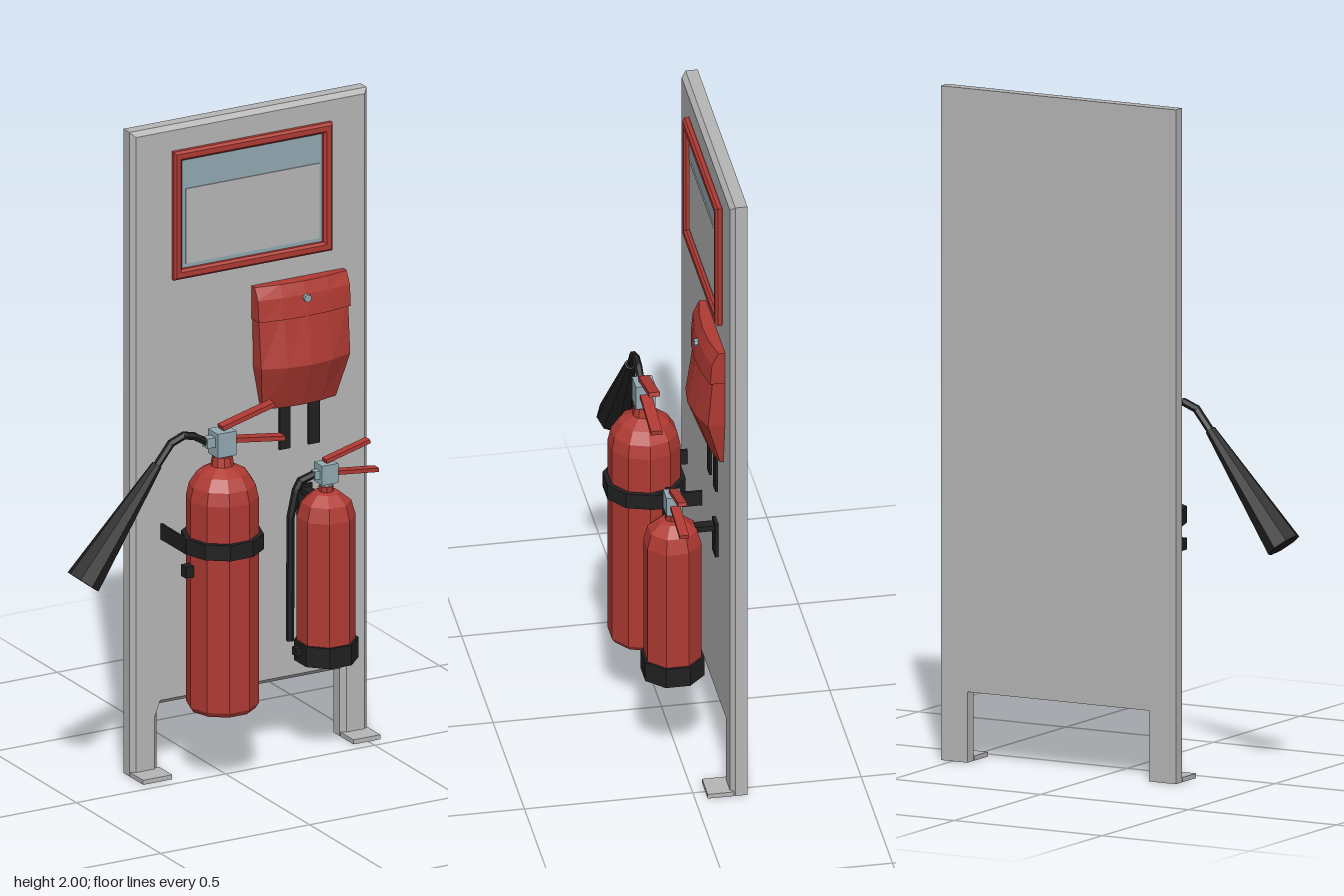
import * as THREE from 'three';

const mat = (name, color) => {
  const m = new THREE.MeshStandardMaterial({ color });
  m.name = name;
  return m;
};

export function createModel() {
  const grey = mat('panelGrey', 0xb6b6b6);
  const red = mat('safetyRed', 0xb03a33);
  const black = mat('rubberBlack', 0x202020);
  const metal = mat('paleMetal', 0x92a9b2);
  const root = new THREE.Group();
  root.name = 'fireStation';

  // Every part is faceted
  const add = (parent, name, geo, material, x = 0, y = 0, z = 0) => {
    const g = geo.index ? geo.toNonIndexed() : geo;
    g.computeVertexNormals();
    const mesh = new THREE.Mesh(g, material);
    mesh.name = name;
    mesh.position.set(x, y, z);
    parent.add(mesh);
    return mesh;
  };
  // Box given by its limits
  const box = (parent, name, material, [x0, x1], [y0, y1], [z0, z1]) =>
    add(parent, name, new THREE.BoxGeometry(x1 - x0, y1 - y0, z1 - z0), material,
      (x0 + x1) / 2, (y0 + y1) / 2, (z0 + z1) / 2);
  // Flat bar between two points of the xy plane
  const bar = (parent, name, material, [ax, ay], [bx, by], z, thick, width) => {
    const m = add(parent, name, new THREE.BoxGeometry(Math.hypot(bx - ax, by - ay), thick, width),
      material, (ax + bx) / 2, (ay + by) / 2, z);
    m.rotation.z = Math.atan2(by - ay, bx - ax);
  };
  const lathe = (parent, name, material, pts, sides, phase, x, z) =>
    add(parent, name, new THREE.LatheGeometry(pts.map(p => new THREE.Vector2(...p)), sides, phase),
      material, x, 0, z);
  // Hose of straight hexagonal pieces with ball-like joints
  const hose = (parent, pts, z, r) => {
    const g = new THREE.Group();
    g.name = 'hose';
    parent.add(g);
    const path = new THREE.CurvePath();
    const v = pts.map(([x, y]) => new THREE.Vector3(x, y, z));
    for (let i = 0; i < v.length - 1; i++) path.add(new THREE.LineCurve3(v[i], v[i + 1]));
    for (let i = 0; i < v.length - 1; i++) {
      const d = v[i + 1].clone().sub(v[i]);
      const mid = v[i].clone().add(v[i + 1]).multiplyScalar(0.5);
      const m = add(g, 'hosePiece', new THREE.CylinderGeometry(r, r, d.length() + r * 0.6, 6),
        black, mid.x, mid.y, mid.z);
      m.quaternion.setFromUnitVectors(new THREE.Vector3(0, 1, 0), d.normalize());
    }
  };

  // Board with two legs and a chamfered front
  const x0 = -0.255, x1 = 0.54, c = 0.014;
  const outline = [[x0, 0], [-0.165, 0], [-0.165, 0.21], [0.45, 0.21], [0.45, 0], [x1, 0], [x1, 2], [x0, 2]];
  const inset = [[x0 + c, c], [-0.165 - c, c], [-0.165 - c, 0.21 + c], [0.45 + c, 0.21 + c],
    [0.45 + c, c], [x1 - c, c], [x1 - c, 2 - c], [x0 + c, 2 - c]];
  const boardShape = new THREE.Shape(outline.map(p => new THREE.Vector2(...p)));
  const board = new THREE.Group();
  board.name = 'board';
  root.add(board);
  add(board, 'boardSlab', new THREE.ExtrudeGeometry(boardShape, { depth: 0.036, bevelEnabled: false }),
    grey, 0, 0, -0.155);
  const front = new THREE.ExtrudeGeometry(boardShape, { depth: c, bevelEnabled: false });
  const fp = front.attributes.position;
  for (let i = 0; i < fp.count; i++) {
    if (fp.getZ(i) < c / 2) continue;
    const k = outline.findIndex(p => Math.hypot(p[0] - fp.getX(i), p[1] - fp.getY(i)) < 1e-4);
    fp.setXY(i, inset[k][0], inset[k][1]);
  }
  add(board, 'boardFront', front, grey, 0, 0, -0.119);
  for (const r of [[x0, -0.158], [0.45, x1]]) box(board, 'footPlate', grey, r, [0, 0.014], [-0.115, -0.037]);

  // Framed notice window
  const rect = (C, a, b, d, e) => new C([[a, d], [b, d], [b, e], [a, e]].map(p => new THREE.Vector2(...p)));
  const frame = rect(THREE.Shape, -0.122, 0.41, 1.525, 1.923);
  frame.holes.push(rect(THREE.Path, -0.095, 0.38, 1.555, 1.893));
  const notice = new THREE.Group();
  notice.name = 'noticeWindow';
  root.add(notice);
  add(notice, 'noticeFrame', new THREE.ExtrudeGeometry(frame, {
    depth: 0.012, bevelThickness: 0.007, bevelSize: 0.007, bevelOffset: -0.007, bevelSegments: 1,
  }), red, 0, 0, -0.103);
  box(notice, 'noticeBacking', metal, [-0.1, 0.386], [1.55, 1.898], [-0.106, -0.1]);
  box(notice, 'noticeSheet', grey, [-0.078, 0.37], [1.568, 1.8], [-0.101, -0.097]);

  // Blanket pouch: rows of [y, half width, z at the sides, z at the centre]
  const loft = rows => {
    const n = 7, pos = [], idx = [];
    for (const [y, w, zs, zc] of rows) {
      pos.push(-w, y, -0.105);
      for (let u = -1; u <= 1; u += 0.5) pos.push(u * w, y, zs + (zc - zs) * (1 - u * u));
      pos.push(w, y, -0.105);
    }
    for (let i = 0; i < rows.length - 1; i++)
      for (let j = 0; j < n; j++) {
        const a = i * n + j, b = i * n + (j + 1) % n;
        idx.push(a, b, b + n, a, b + n, a + n);
      }
    const t = (rows.length - 1) * n;
    for (let j = 1; j < n - 1; j++) idx.push(0, j + 1, j, t, t + j, t + j + 1);
    const g = new THREE.BufferGeometry();
    g.setAttribute('position', new THREE.Float32BufferAttribute(pos, 3));
    g.setIndex(idx);
    return g;
  };
  const pouch = new THREE.Group();
  pouch.name = 'pouch';
  pouch.position.x = 0.3;
  root.add(pouch);
  add(pouch, 'pouchBody', loft([[1.07, 0.124, -0.095, -0.075], [1.21, 0.149, -0.055, -0.021],
    [1.38, 0.15, -0.07, -0.05]]), red);
  add(pouch, 'pouchFlap', loft([[1.355, 0.154, -0.06, -0.042], [1.42, 0.154, -0.066, -0.052],
    [1.457, 0.154, -0.085, -0.066]]), red);
  const stud = add(pouch, 'pouchStud', new THREE.CylinderGeometry(0.012, 0.012, 0.014, 8), metal, 0, 1.41, -0.047);
  stud.rotation.x = Math.PI / 2;
  for (const x of [-0.048, 0.05])
    box(pouch, 'pullStrap', black, [x - 0.018, x + 0.018], [0.935, 1.09], [-0.1, -0.092]);

  // Large extinguisher
  const big = new THREE.Group();
  big.name = 'largeExtinguisher';
  root.add(big);
  const bx = -0.036, bz = 0.045;
  lathe(big, 'largeCylinder', red, [[0, 0.23], [0.097, 0.23], [0.107, 0.245], [0.107, 0.885], [0.098, 0.925],
    [0.075, 0.96], [0.035, 0.982], [0.03, 1.01], [0, 1.01]], 10, Math.PI / 2, bx, bz);
  lathe(big, 'largeNeck', metal, [[0, 0.99], [0.021, 0.99], [0.021, 1.04], [0, 1.04]], 8, 0, bx, bz);
  box(big, 'largeValve', metal, [-0.068, -0.005], [1.015, 1.09], [0.016, 0.075]);
  box(big, 'largeOutlet', metal, [-0.095, -0.06], [1.045, 1.075], [0.031, 0.06]);
  bar(big, 'largeLever', red, [-0.042, 1.098], [0.132, 1.143], bz, 0.014, 0.032);
  bar(big, 'largeGrip', red, [-0.008, 1.056], [0.166, 1.032], bz, 0.014, 0.034);
  hose(big, [[-0.088, 1.06], [-0.13, 1.086], [-0.165, 1.095], [-0.208, 1.078], [-0.262, 1.01]], bz, 0.012);
  // Discharge horn
  const tip = new THREE.Vector3(-0.255, 1.02, bz), mouth = new THREE.Vector3(-0.503, 0.7, bz);
  const dir = tip.clone().sub(mouth);
  const horn = add(big, 'horn', new THREE.CylinderGeometry(0.016, 0.054, dir.length(), 8), black,
    (tip.x + mouth.x) / 2, (tip.y + mouth.y) / 2, bz);
  horn.quaternion.setFromUnitVectors(new THREE.Vector3(0, 1, 0), dir.normalize());
  // Holding band with arms back to the board
  lathe(big, 'largeBand', black, [[0.1, 0.724], [0.122, 0.724], [0.122, 0.772], [0.1, 0.772]],
    10, Math.PI / 2, bx, bz);
  for (const s of [-1, 1])
    box(big, 'bandArm', black, [bx + s * 0.119 - 0.004, bx + s * 0.119 + 0.004], [0.724, 0.772], [-0.106, bz]);
  box(big, 'hornClip', black, [-0.167, -0.14], [0.655, 0.69], [0.03, 0.06]);

  // Small extinguisher
  const small = new THREE.Group();
  small.name = 'smallExtinguisher';
  root.add(small);
  const sx = 0.322, sz = 0.027, eighth = Math.PI / 8;
  lathe(small, 'smallCylinder', red, [[0, 0.312], [0.08, 0.312], [0.087, 0.325], [0.087, 0.755], [0.074, 0.8],
    [0.04, 0.828], [0.022, 0.832], [0.022, 0.848], [0, 0.848]], 8, eighth, sx, sz);
  lathe(small, 'smallNeck', metal, [[0, 0.84], [0.018, 0.84], [0.018, 0.88], [0, 0.88]], 8, 0, sx, sz);
  box(small, 'smallValve', metal, [0.296, 0.35], [0.858, 0.918], [0.002, 0.05]);
  box(small, 'smallOutlet', metal, [0.278, 0.3], [0.875, 0.9], [0.014, 0.038]);
  bar(small, 'smallLever', red, [0.318, 0.924], [0.465, 0.962], 0.024, 0.012, 0.026);
  bar(small, 'smallGrip', red, [0.35, 0.884], [0.493, 0.868], 0.024, 0.012, 0.028);
  hose(small, [[0.28, 0.888], [0.237, 0.876], [0.222, 0.85], [0.204, 0.77], [0.202, 0.39]], 0.025, 0.012);
  // Boot with a hose clip, and the wall hook behind the shoulder
  lathe(small, 'boot', black, [[0.075, 0.31], [0.095, 0.31], [0.095, 0.373], [0.075, 0.373]], 8, eighth, sx, sz);
  box(small, 'hoseClip', black, [0.215, 0.24], [0.338, 0.362], [0.014, 0.038]);
  box(small, 'hookPlate', black, [0.298, 0.346], [0.7, 0.812], [-0.106, -0.095]);
  box(small, 'hookArm', black, [0.306, 0.338], [0.785, 0.803], [-0.1, -0.03]);

  return root;
}
